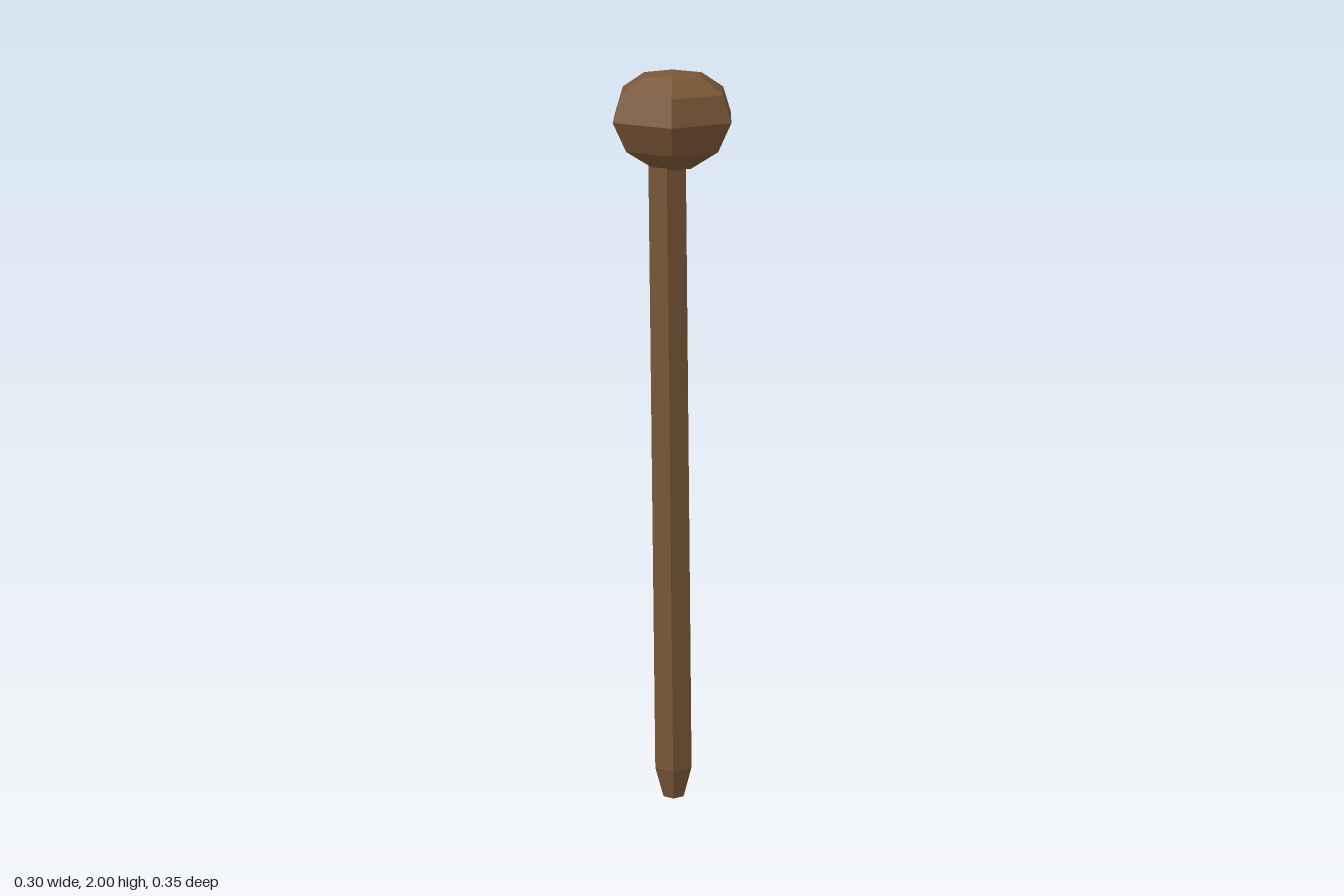
import * as THREE from 'three';

// Six-sided turned solid from [radius, height] points, bottom to top
function hexTurned(name, profile, material) {
  const points = profile.map(([r, y]) => new THREE.Vector2(r, y));
  const mesh = new THREE.Mesh(new THREE.LatheGeometry(points, 6).toNonIndexed(), material);
  mesh.geometry.computeVertexNormals();
  mesh.name = name;
  return mesh;
}

export function createModel() {
  const wood = new THREE.MeshStandardMaterial({ color: 0x7a5637, flatShading: true });
  wood.name = 'brown wood';
  const group = new THREE.Group();
  group.name = 'knobbed staff';

  // Shaft with a tapered foot, leaning very slightly to one side
  const shaft = hexTurned('shaft', [
    [0, 0], [0.032, 0], [0.057, 0.09], [0.055, 1.76], [0, 1.76],
  ], wood);
  const lean = new THREE.Matrix4().makeShear(0, 0, -0.005, 0, 0, 0);
  shaft.geometry.applyMatrix4(lean);
  const pos = shaft.geometry.attributes.position;
  for (let i = 0; i < pos.count; i++) {
    pos.setX(i, pos.getX(i) + 0.003 - (pos.getY(i) > 1 ? 0.008 : 0));
  }
  shaft.geometry.computeVertexNormals();

  // Faceted knob
  const knob = hexTurned('knob', [
    [0, 1.75], [0.055, 1.75], [0.135, 1.8], [0.173, 1.877],
    [0.149, 1.946], [0.085, 1.987], [0, 2],
  ], wood);

  group.add(shaft, knob);
  return group;
}
